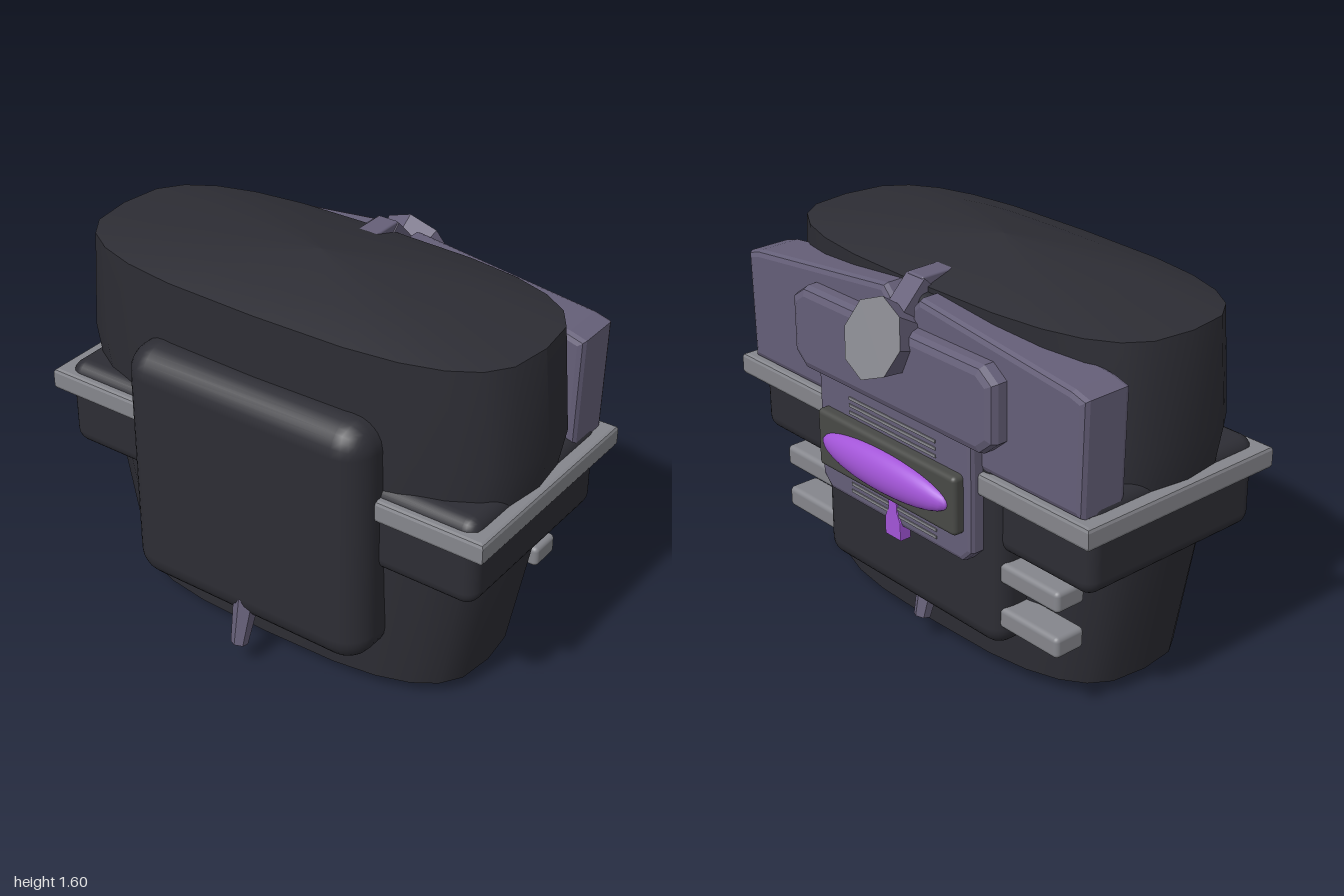
import * as THREE from 'three';
import { RoundedBoxGeometry } from 'three/addons/geometries/RoundedBoxGeometry.js';

const material = (name, color) => {
  const m = new THREE.MeshStandardMaterial({ color });
  m.name = name;
  return m;
};

// Loft of superellipse rings, each [y, halfWidth, halfDepth], bottom to top
function loft(rings, cz, sides = 24, power = 3) {
  const pos = [], index = [];
  const bend = v => Math.sign(v) * Math.abs(v) ** (2 / power);
  rings.forEach(([y, w, d], i) => {
    for (let j = 0; j <= sides; j++) {
      const a = (j / sides) * Math.PI * 2;
      pos.push(w * bend(Math.cos(a)), y, cz + d * bend(Math.sin(a)));
      if (i && j < sides) {
        const hi = i * (sides + 1) + j, lo = hi - sides - 1;
        index.push(lo, hi, lo + 1, lo + 1, hi, hi + 1);
      }
    }
  });
  const g = new THREE.BufferGeometry();
  g.setAttribute('position', new THREE.Float32BufferAttribute(pos, 3));
  g.setIndex(index);
  g.computeVertexNormals();
  return g;
}

// Bevelled plate with outline points in x, y, reaching from z0 to z1
function plate(points, z0, z1, bevel) {
  const shape = new THREE.Shape(points.map(p => new THREE.Vector2(...p)));
  const g = new THREE.ExtrudeGeometry(shape, {
    depth: z1 - z0 - 2 * bevel, bevelThickness: bevel, bevelSize: bevel,
    bevelOffset: -bevel, bevelSegments: 2,
  });
  return g.translate(0, 0, z0 + bevel);
}

// Rounded box from its minimum and maximum corners
function block(x0, x1, y0, y1, z0, z1, r) {
  const g = new RoundedBoxGeometry(x1 - x0, y1 - y0, z1 - z0, 3, r);
  return g.translate((x0 + x1) / 2, (y0 + y1) / 2, (z0 + z1) / 2);
}

export function createModel() {
  const model = new THREE.Group();
  const dark = material('charcoal', 0x2d2d34);
  const mauve = material('greyMauve', 0x655f78);
  const grey = material('lightGrey', 0x85868c);
  const violet = material('violet', 0xa355d8);
  const frame = material('frameGrey', 0x484946);
  const add = (name, geometry, mat) => {
    const m = new THREE.Mesh(geometry, mat);
    m.name = name;
    model.add(m);
    return m;
  };

  // Main body with shallow domed ends
  const cz = 0.065;
  add('bodySide', loft([[0.065, 0.8, 0.375], [0.6, 0.903, 0.397], [1.1, 1, 0.41], [1.51, 0.96, 0.418]], cz), dark);
  add('bodyTop', loft([[1.51, 0.96, 0.418], [1.56, 0.6, 0.265], [1.6, 0, 0]], cz), dark);
  add('bodyBottom', loft([[0.005, 0, 0], [0.065, 0.8, 0.375]], cz), dark);

  // Front and rear pads, and the box inside the belt
  add('frontPad', block(-0.55, 0.55, 0.21, 1.255, 0.2, 0.6, 0.12), dark);
  add('rearPad', block(-0.52, 0.52, 0.21, 1.25, -0.435, -0.1, 0.08), dark);
  add('rearSpine', block(-0.12, 0.12, 1.1, 1.49, -0.4, -0.2, 0.04), dark);
  add('waistBox', block(-0.95, 0.95, 0.61, 0.98, -0.4, 0.46, 0.06), dark);

  // Rectangular belt
  const rect = (Type, w, d) => new Type([[-w, -d], [w, -d], [w, d], [-w, d]].map(p => new THREE.Vector2(...p)));
  const beltShape = rect(THREE.Shape, 0.985, 0.46);
  beltShape.holes.push(rect(THREE.Path, 0.945, 0.42));
  const belt = new THREE.ExtrudeGeometry(beltShape, {
    depth: 0.06, bevelThickness: 0.015, bevelSize: 0.015, bevelSegments: 2,
  });
  add('belt', belt.rotateX(-Math.PI / 2).translate(0, 0.865, 0.015), grey);

  // Rear shoulder panels and side clips
  for (const s of [1, -1]) {
    const outline = [[0.06, 0.94], [0.94, 0.94], [0.95, 1.39], [0.88, 1.41], [0.1, 1.5], [0.06, 1.46]];
    const pts = outline.map(([x, y]) => [s * x, y]);
    add('shoulderPanel', plate(s > 0 ? pts : pts.reverse(), -0.44, -0.22, 0.025), mauve);
    for (const y of [0.3, 0.49]) {
      const xs = [s * 0.45, s * 0.8].sort((a, b) => a - b);
      add('sideClip', block(...xs, y, y + 0.088, -0.405, -0.265, 0.02), grey);
    }
  }

  // Rear upper block and centre plate
  add('upperBlock', plate([[-0.5, 1.05], [0.5, 1.05], [0.57, 1.11], [0.57, 1.34], [0.5, 1.39],
    [-0.5, 1.39], [-0.57, 1.34], [-0.57, 1.11]], -0.515, -0.4, 0.035), mauve);
  add('centrePlate', plate([[-0.39, 0.57], [0.39, 0.57], [0.44, 0.62], [0.44, 1.1], [-0.44, 1.1], [-0.44, 0.62]],
    -0.495, -0.38, 0.02), mauve);

  // Thin grille slats above and below the lens
  for (const y of [0.615, 0.645, 0.675, 0.95, 0.98, 1.01]) {
    add('grilleSlat', new THREE.BoxGeometry(0.5, 0.012, 0.006).translate(0, y, -0.496), grey);
  }

  // Lens in its frame, with a tab below
  add('lensFrame', block(-0.4, 0.4, 0.69, 0.93, -0.54, -0.47, 0.02), frame);
  const lens = add('lens', new THREE.SphereGeometry(1, 32, 20), violet);
  lens.scale.set(0.365, 0.085, 0.062);
  lens.position.set(0, 0.81, -0.537);
  add('lensTab', plate([[-0.045, 0.515], [0.045, 0.515], [0.045, 0.59], [0.025, 0.63], [0.025, 0.72],
    [-0.025, 0.72], [-0.025, 0.63], [-0.045, 0.59]], -0.503, -0.45, 0.004), violet);

  // Tilted eight-sided knob with a strut over the top
  const knobGeometry = new THREE.CylinderGeometry(0.158, 0.12, 0.15, 8).toNonIndexed();
  knobGeometry.computeVertexNormals();
  const knob = add('knob', knobGeometry, [mauve, grey, mauve]);
  knob.rotation.x = -1.213;
  knob.position.set(0, 1.331, -0.505);
  add('topStrut', block(-0.045, 0.045, 1.51, 1.55, -0.37, -0.22, 0.008), mauve);
  const link = add('strutLink', new THREE.BoxGeometry(0.1, 0.07, 0.17), mauve);
  link.position.set(0, 1.46, -0.4);
  link.rotation.x = -0.8;

  // Small tapered fins at the lower front and back
  for (const [s, y, z] of [[1, 0.21, 0.577], [-1, 0.21, -0.34]]) {
    const g = new THREE.CylinderGeometry(0.052, 0.034, 0.2, 6).toNonIndexed();
    g.computeVertexNormals();
    const fin = add(s > 0 ? 'frontFin' : 'rearFin', g, mauve);
    fin.position.set(0, y, z);
    fin.rotation.x = -s * 0.27;
  }
  return model;
}
